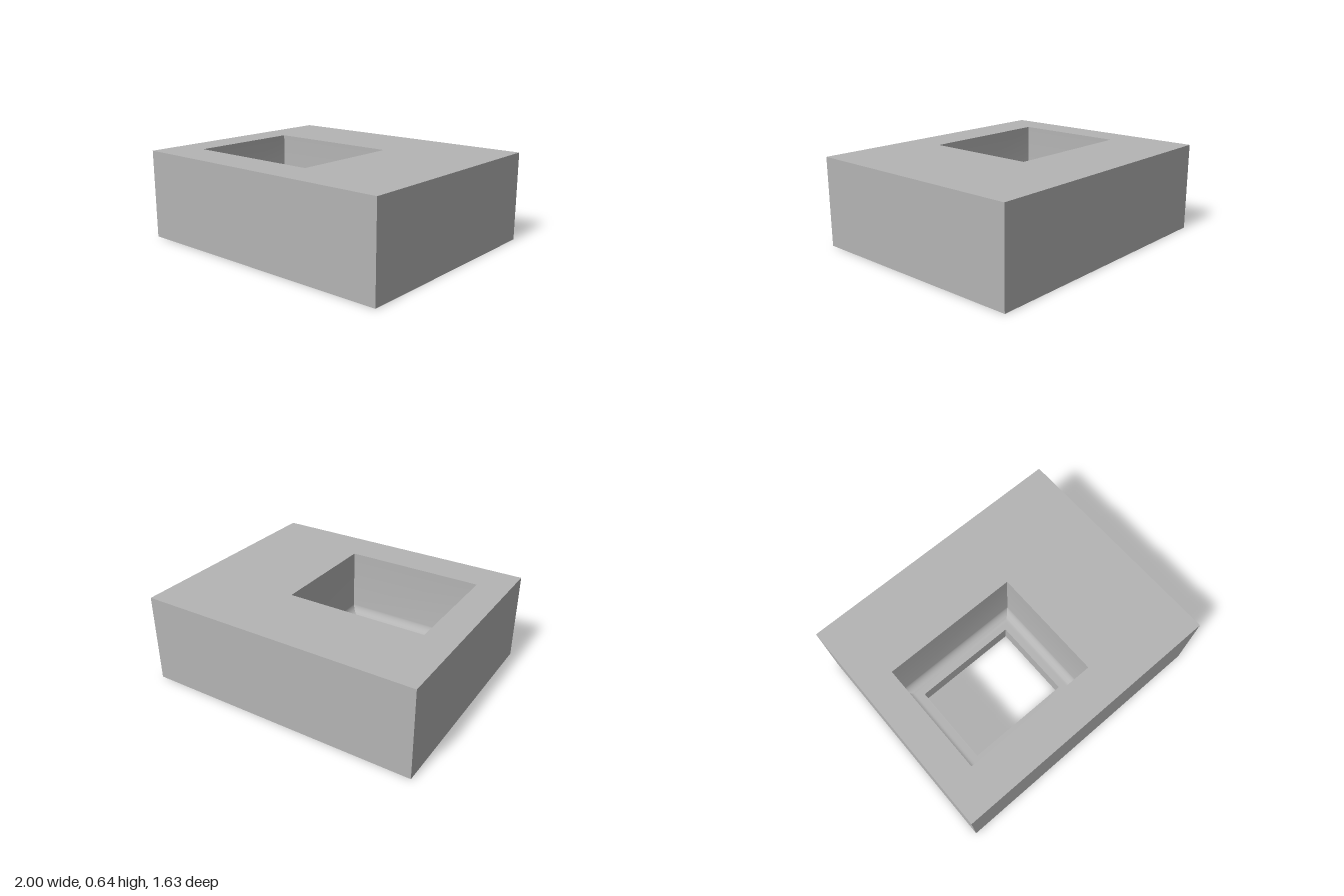
import * as THREE from 'three';
import { toCreasedNormals } from 'three/addons/utils/BufferGeometryUtils.js';

const W = 1, D = 0.817, H = 0.637;   // half width, half depth, height
const LEDGE = 0.14, R = 0.07;        // ledge height and fillet radius
const pocket = { x0: -0.775, x1: 0.225, z0: -0.275, z1: 0.545 };
const hole = { x0: -0.66, x1: 0.112, z0: -0.163, z1: 0.431 };
const block = { x0: -W, x1: W, z0: -D, z1: D };

// Four corners of a rectangle at height y, shrunk by an inset
const ring = (r, y, inset = 0) => [
  [r.x0 + inset, y, r.z1 - inset],
  [r.x1 - inset, y, r.z1 - inset],
  [r.x1 - inset, y, r.z0 + inset],
  [r.x0 + inset, y, r.z0 + inset],
];

// Skin consecutive rectangular rings with quads
function skin(rings) {
  const pos = [];
  for (let i = 0; i < rings.length - 1; i++) {
    for (let j = 0; j < 4; j++) {
      const k = (j + 1) % 4;
      const [a, b, c, d] = [rings[i][j], rings[i][k], rings[i + 1][k], rings[i + 1][j]];
      pos.push(...a, ...b, ...c, ...a, ...c, ...d);
    }
  }
  const g = new THREE.BufferGeometry();
  g.setAttribute('position', new THREE.Float32BufferAttribute(pos, 3));
  return toCreasedNormals(g, 0.3);
}

export function createModel() {
  const grey = new THREE.MeshStandardMaterial({ color: 0xb4b4b4 });
  grey.name = 'grey';

  // Outer walls and top, then down the pocket wall
  const rings = [ring(block, 0), ring(block, H), ring(pocket, H)];
  // Concave fillet where the pocket wall meets the ledge
  const steps = 12;
  for (let i = 0; i <= steps; i++) {
    const a = (i / steps) * Math.PI / 2;
    rings.push(ring(pocket, LEDGE + R * (1 - Math.sin(a)), R * (1 - Math.cos(a))));
  }
  // Flat ledge, through hole and underside
  rings.push(ring(hole, LEDGE), ring(hole, 0), ring(block, 0));

  const body = new THREE.Mesh(skin(rings), grey);
  body.name = 'blockWithSteppedPocket';

  const group = new THREE.Group();
  group.name = 'pocketBlock';
  group.add(body);
  return group;
}
